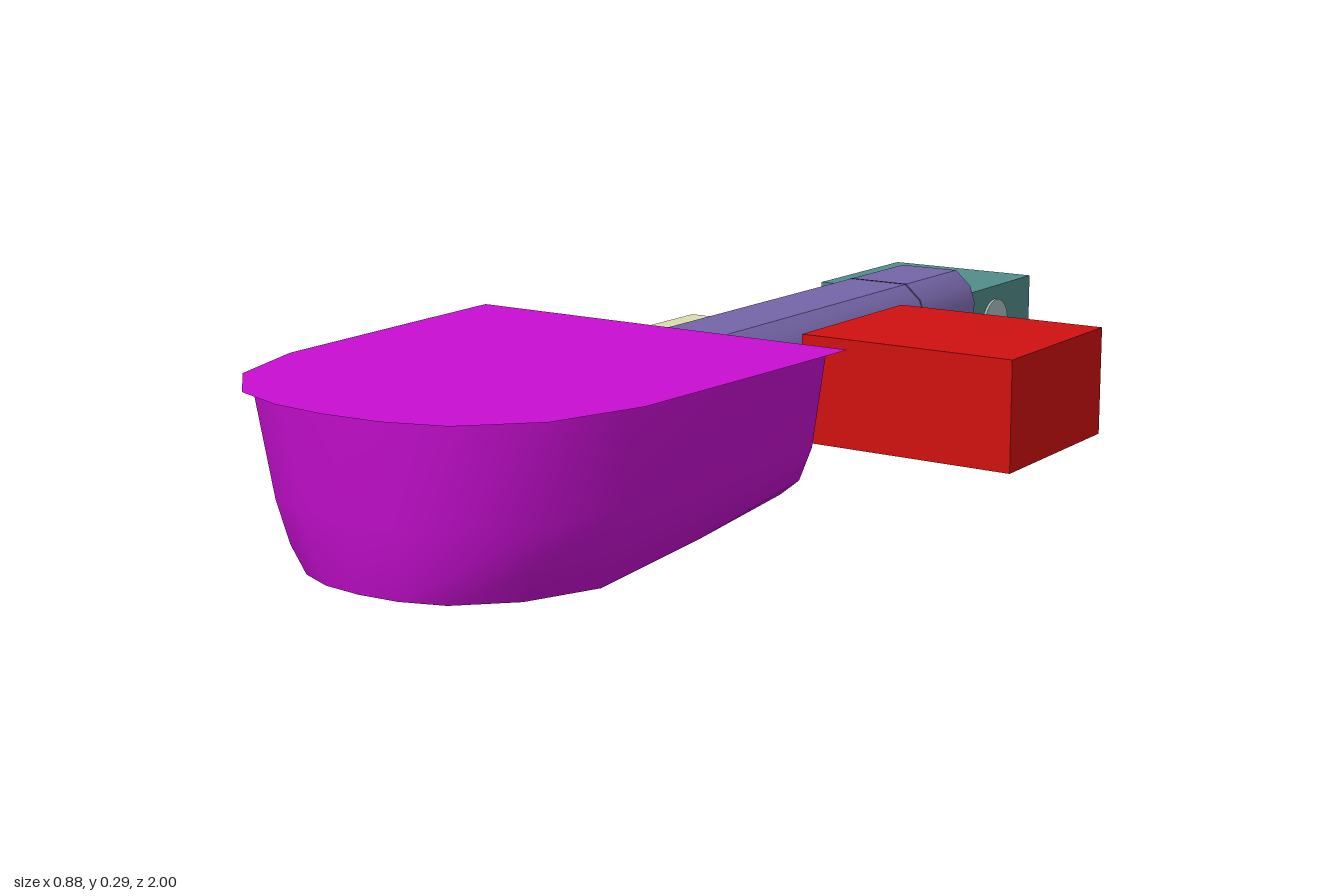
import * as THREE from 'three';
import { toCreasedNormals } from 'three/addons/utils/BufferGeometryUtils.js';

const CX = -0.085; // centre line of the hull and the spine
const BACK = 0.24;

const material = (color) => new THREE.MeshStandardMaterial({ color, side: THREE.DoubleSide });

function add(group, name, geometry, mat, x = 0, y = 0, z = 0) {
  const mesh = new THREE.Mesh(geometry, mat);
  mesh.name = name;
  mesh.position.set(x, y, z);
  group.add(mesh);
  return mesh;
}

// Half plan of the hull, from the stern corner to the bow; x is relative to the half width
const HALF = [[1, 0], [0.97, 0.3], [0.93, 0.64], [0.79, 0.83], [0.53, 0.95], [0.27, 0.99], [0, 1]];

// Full plan: port stern corner, round the bow, starboard stern corner
function plan(halfWidth, back, front) {
  const side = (s) => HALF.map(([x, t]) => [CX + s * x * halfWidth, back + t * (front - back)]);
  return [...side(-1), ...side(1).reverse().slice(1)];
}

// Flat sheet in the plan outline
function sheet(points) {
  const shape = new THREE.Shape(points.map(([x, z]) => new THREE.Vector2(x, z)));
  return new THREE.ShapeGeometry(shape).rotateX(Math.PI / 2);
}

// Keel height: lowest at z = 0.65, rising to stern and bow
function keel(z) {
  return z < 0.65 ? 0.045 * (0.65 - z) / 0.41 : 0.018 * (z - 0.65) / 0.29;
}

// Skin between closed rings, listed from inside the lip out and up to the rim
function skin(rings) {
  const n = rings[0].length;
  const index = [];
  for (let r = 0; r < rings.length - 1; r++) {
    for (let i = 0; i < n; i++) {
      const a = r * n + i, b = r * n + (i + 1) % n;
      index.push(a, b, b + n, a, b + n, a + n);
    }
  }
  const geometry = new THREE.BufferGeometry();
  geometry.setAttribute('position', new THREE.Float32BufferAttribute(rings.flat(2), 3));
  geometry.setIndex(index);
  return toCreasedNormals(geometry, 0.7);
}

export function createModel() {
  const model = new THREE.Group();
  const magenta = material(0xc80fd2);
  const purple = material(0x7565a8);
  const red = material(0xd01010);
  const teal = material(0x528c8a);
  const cream = material(0xdcdcae);
  const dark = material(0x4a4068);
  const pale = material(0xa9bdbb);

  // Hull with a lip around the recessed bottom
  const hull = new THREE.Group();
  hull.name = 'hull';
  const ring = (w, back, front, height) =>
    plan(w, back, front).map(([x, z]) => [x, height(z), z]);
  add(hull, 'hullSkin', skin([
    ring(0.225, 0.26, 0.9, () => 0.055),
    ring(0.23, 0.26, 0.905, (z) => keel(z) + 0.002),
    ring(0.255, BACK, 0.94, keel),
    ring(0.29, BACK, 0.952, (z) => 0.055 + keel(z) * 0.4),
    ring(0.314, BACK, 0.965, () => 0.13),
    ring(0.34, BACK, 0.985, () => 0.29),
  ]), magenta);
  add(hull, 'bottomPanel', sheet(plan(0.225, 0.26, 0.9)), material(0x80587f), 0, 0.053, 0);
  add(hull, 'deck', sheet(plan(0.367, 0.222, 0.995)), magenta, 0, 0.29, 0);
  model.add(hull);

  // Spine: bevelled tube running aft
  const spine = new THREE.Group();
  spine.name = 'spine';
  const section = (grow) => {
    const half = [[0.08, 0.05], [0.102, 0.075], [0.102, 0.205], [0.092, 0.235], [0.06, 0.263]];
    const points = [...half, ...half.map(([x, y]) => [-x, y]).reverse()];
    return new THREE.Shape(points.map(([x, y]) =>
      new THREE.Vector2(CX + x * grow, 0.157 + (y - 0.157) * grow)));
  };
  const prism = (grow, from, to) => toCreasedNormals(
    new THREE.ExtrudeGeometry(section(grow), { depth: to - from, bevelEnabled: false })
      .translate(0, 0, from), 0.7);
  add(spine, 'spineTube', prism(1, -0.69, BACK), purple);
  add(spine, 'seam', prism(1.006, -0.495, -0.49), dark);
  for (let i = 0; i < 6; i++) {
    add(spine, 'bottomRail', new THREE.BoxGeometry(0.014, 0.01, 0.92), i % 2 ? purple : dark,
      CX - 0.065 + i * 0.026, 0.047, -0.225);
  }
  model.add(spine);

  // Side and stern boxes, each given by its bounds
  const box = (name, mat, [x0, x1], [y0, y1], [z0, z1]) =>
    add(model, name, new THREE.BoxGeometry(x1 - x0, y1 - y0, z1 - z0), mat,
      (x0 + x1) / 2, (y0 + y1) / 2, (z0 + z1) / 2);
  box('leftModule', red, [0.025, 0.43], [0.053, 0.244], [-0.39, -0.05]);
  box('rightModule', cream, [-0.38, -0.195], [0.053, 0.2], [-0.295, -0.02]);
  box('sternModule', teal, [-0.337, -0.02], [0.055, 0.21], [-1, -0.692]);

  // Round ports on the sides
  const port = (name, mat, x, y, z, radius) =>
    add(model, name, new THREE.CylinderGeometry(radius, radius, 0.012, 24).rotateZ(Math.PI / 2),
      mat, x, y, z);
  port('leftPort', dark, 0.02, 0.14, -0.24, 0.045);
  port('rightPort', dark, -0.191, 0.14, -0.24, 0.045);
  port('sternPort', pale, -0.021, 0.133, -0.845, 0.05);

  return model;
}
